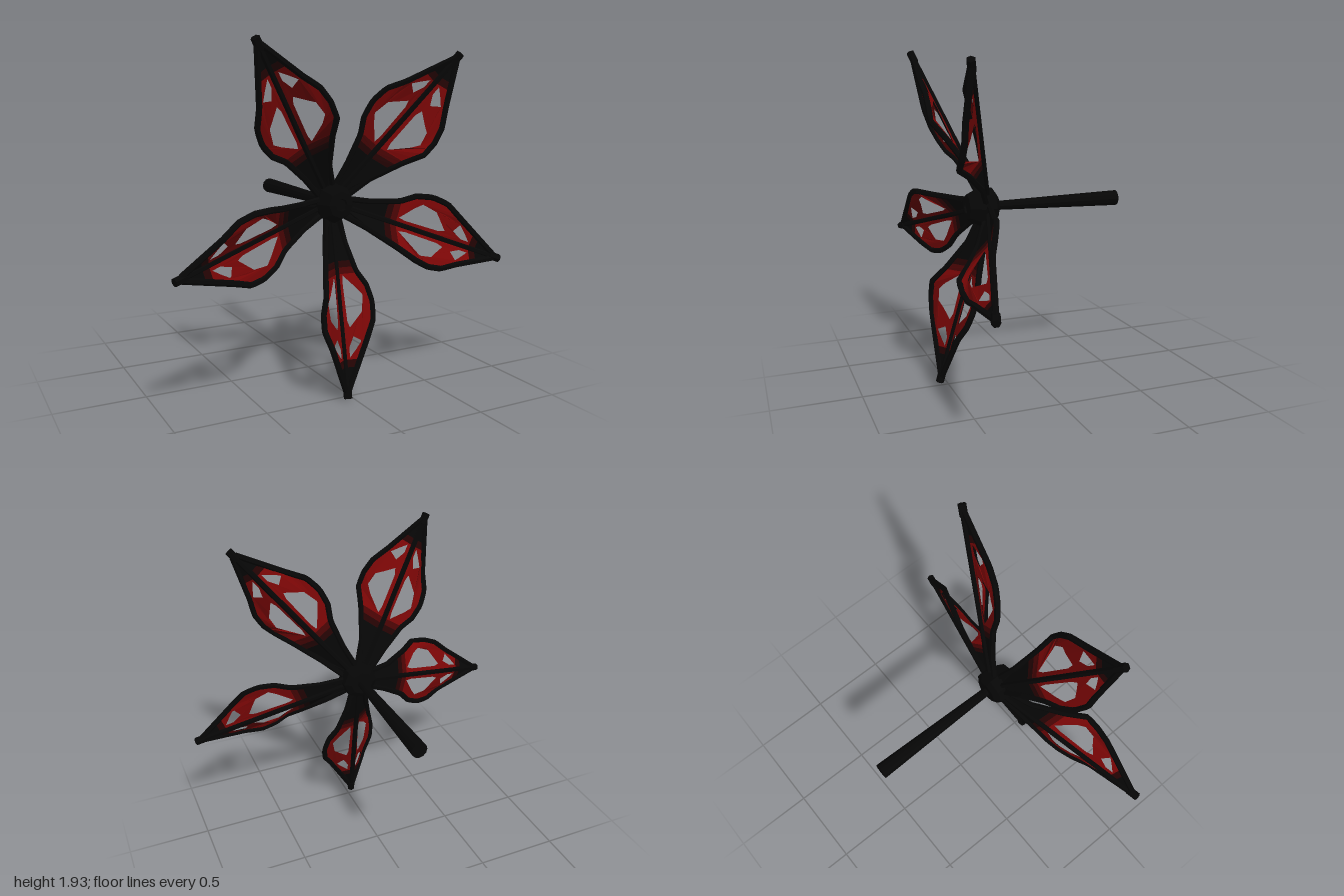
import * as THREE from 'three';

const paint = (color, extra = {}) => new THREE.MeshStandardMaterial({ color, flatShading: true, ...extra });
const sheetPaint = color => paint(color, { side: THREE.DoubleSide });
const black = paint(0x060606);
const blackSheet = sheetPaint(0x060606);
const darkSheet = sheetPaint(0x240303);
const duskSheet = sheetPaint(0x480404);
const redSheet = sheetPaint(0x780606);

const V = (x, y, z) => new THREE.Vector3(x, y, z);
const HUB = V(0.01, 1.05, 0);

// Petal lines in local axes: x outward, y sideways, z forward
const midrib = [V(0.05, 0, 0.26), V(1.0, 0, 0.53)];
const nearEdge = [
  V(0.06, 0.042, 0.265), V(0.22, 0.075, 0.3), V(0.38, 0.13, 0.345), V(0.46, 0.188, 0.372), V(0.55, 0.212, 0.402),
  V(0.64, 0.203, 0.437), V(0.73, 0.148, 0.475), V(1.0, 0.01, 0.53),
];
const forwardEdge = [
  V(0.06, -0.042, 0.28), V(0.22, -0.073, 0.345), V(0.38, -0.125, 0.46), V(0.47, -0.162, 0.54), V(0.56, -0.175, 0.543),
  V(0.65, -0.163, 0.543), V(0.75, -0.112, 0.543), V(1.0, -0.01, 0.533),
];

// Point on a line at distance r from the hub
function at(line, r) {
  let i = 0;
  while (i < line.length - 2 && r > line[i + 1].x) i++;
  const a = line[i], b = line[i + 1];
  return a.clone().lerp(b, (r - a.x) / (b.x - a.x));
}

function add(parent, name, geometry, material) {
  const mesh = new THREE.Mesh(geometry, material);
  mesh.name = name;
  parent.add(mesh);
  return mesh;
}

// Straight-sided bar following a line
function bar(line, radius) {
  const curve = new THREE.CatmullRomCurve3(line, false, 'catmullrom', 0);
  return new THREE.TubeGeometry(curve, line.length > 2 ? 36 : 2, radius, 6);
}

// Tapered cylinder between two points
function rod(a, b, ra, rb, sides) {
  const d = b.clone().sub(a);
  const g = new THREE.CylinderGeometry(rb, ra, d.length(), sides);
  g.applyQuaternion(new THREE.Quaternion().setFromUnitVectors(V(0, 1, 0), d.normalize()));
  return g.translate(...a.clone().add(b).multiplyScalar(0.5).toArray());
}

// Sheet between midrib (t = 0) and an edge (t = 1), holes given as [r, t] loops
function sheet(edge, r0, r1, holes = []) {
  const n = 10, pts = [];
  for (let i = 0; i <= n; i++) pts.push(new THREE.Vector2(r0 + (r1 - r0) * i / n, 0));
  for (let i = n; i >= 0; i--) pts.push(new THREE.Vector2(r0 + (r1 - r0) * i / n, 1));
  const shape = new THREE.Shape(pts);
  for (const h of holes) shape.holes.push(new THREE.Path(h.map(p => new THREE.Vector2(...p))));
  const g = new THREE.ShapeGeometry(shape);
  const pos = g.attributes.position;
  for (let i = 0; i < pos.count; i++) {
    const r = pos.getX(i);
    const p = at(midrib, r).lerp(at(edge, r), pos.getY(i));
    pos.setXYZ(i, p.x, p.y, p.z);
  }
  g.computeVertexNormals();
  return g;
}

// Large window and small outer window in each half petal
const windows = [
  [[0.4, 0.27], [0.47, 0.62], [0.51, 0.77], [0.58, 0.75], [0.62, 0.55], [0.675, 0.28], [0.64, 0.19], [0.44, 0.19]],
  [[0.72, 0.42], [0.745, 0.8], [0.79, 0.62], [0.83, 0.35], [0.78, 0.28]],
];

// Bands of each half petal, from hub to tip
const bands = [
  ['BaseWeb', 0.06, 0.32, blackSheet],
  ['DarkWeb', 0.32, 0.355, darkSheet],
  ['DuskWeb', 0.355, 0.39, duskSheet],
  ['Membrane', 0.39, 0.84, redSheet, windows],
  ['OuterWeb', 0.84, 0.88, darkSheet],
  ['TipWeb', 0.88, 1.0, blackSheet],
];

function makePetal() {
  const petal = new THREE.Group();
  for (const [side, edge] of [['near', nearEdge], ['forward', forwardEdge]]) {
    add(petal, side + 'Frame', bar(edge, 0.017), black);
    for (const [name, r0, r1, material, holes] of bands) {
      add(petal, side + name, sheet(edge, r0, r1, holes), material);
    }
  }
  add(petal, 'midrib', bar(midrib, 0.017), black);
  add(petal, 'tip', rod(V(0.975, 0, 0.524), V(1.04, 0, 0.542), 0.024, 0.024, 6), black);
  return petal;
}

export function createModel() {
  const model = new THREE.Group();
  model.name = 'pinwheelFlower';

  // Five petals around the hub
  for (let i = 0; i < 5; i++) {
    const petal = makePetal();
    petal.name = 'petal' + (i + 1);
    petal.position.copy(HUB);
    petal.rotation.z = THREE.MathUtils.degToRad(-92.5 + 72 * i);
    model.add(petal);
  }

  // Faceted hub with a small front dimple
  const profile = [[0, 0.2], [0.07, 0.2], [0.105, 0.225], [0.112, 0.3], [0.075, 0.375], [0.035, 0.38], [0.03, 0.37], [0, 0.37]];
  const hub = new THREE.LatheGeometry(profile.map(p => new THREE.Vector2(...p)), 8);
  hub.rotateX(Math.PI / 2);
  add(model, 'hub', hub, black).position.copy(HUB);

  // Shaft widening towards the back
  add(model, 'shaft', rod(V(0, 0, 0.25), V(0, 0, -0.57), 0.025, 0.046, 12), black).position.copy(HUB);

  return model;
}
